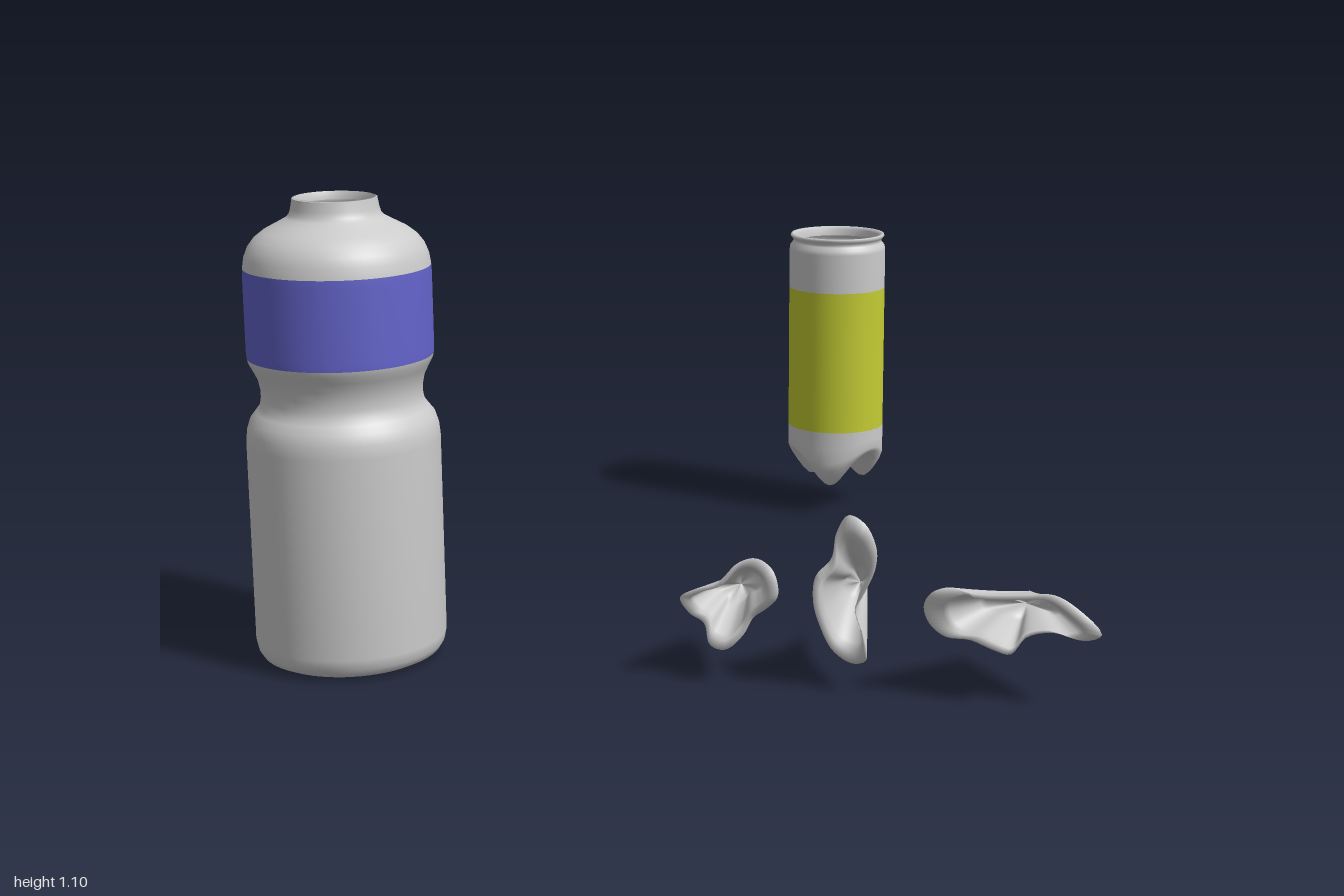
import * as THREE from 'three';

const material = (color) => new THREE.MeshStandardMaterial({ color, side: THREE.DoubleSide, roughness: 0.8 });
const grey = material(0xcccccc);
const blue = material(0x6464cc);
const yellow = material(0xc4cc33);

// Turned part from [radius, height] pairs
function turned(name, points, mat) {
  const mesh = new THREE.Mesh(new THREE.LatheGeometry(points.map(([r, y]) => new THREE.Vector2(r, y)), 64), mat);
  mesh.name = name;
  return mesh;
}

// Smooth skin through closed rings: at(i, j) gives the point j of ring i
function skin(name, rings, sides, at, mat) {
  const pos = [], index = [];
  for (let i = 0; i < rings; i++) {
    for (let j = 0; j < sides; j++) {
      pos.push(...at(i, j));
      if (i === rings - 1) continue;
      const k = (j + 1) % sides;
      const a = i * sides + j, b = i * sides + k, c = b + sides, d = a + sides;
      index.push(a, b, c, a, c, d);
    }
  }
  const geo = new THREE.BufferGeometry();
  geo.setAttribute('position', new THREE.Float32BufferAttribute(pos, 3));
  geo.setIndex(index);
  geo.computeVertexNormals();
  const mesh = new THREE.Mesh(geo, mat);
  mesh.name = name;
  return mesh;
}

// Wide bottle with a waist and an open neck
function sportsBottle() {
  const g = new THREE.Group();
  g.name = 'sportsBottle';
  g.add(
    turned('bottleBase', [[0, 0.006], [0.15, 0.006], [0.17, 0.002]], grey),
    turned('bottleBody', [
      [0.17, 0.002], [0.192, 0.005], [0.21, 0.014], [0.22, 0.03], [0.225, 0.055], [0.225, 0.3], [0.225, 0.53],
      [0.222, 0.56], [0.214, 0.585], [0.2, 0.603], [0.19, 0.617], [0.187, 0.635], [0.187, 0.655],
      [0.192, 0.68], [0.203, 0.703], [0.212, 0.72], [0.215, 0.732],
    ], grey),
    turned('bottleLabel', [[0.215, 0.732], [0.216, 0.75], [0.216, 0.92], [0.215, 0.94]], blue),
    turned('bottleShoulder', [
      [0.215, 0.94], [0.211, 0.965], [0.202, 0.988], [0.187, 1.008], [0.165, 1.025], [0.135, 1.041],
      [0.113, 1.053], [0.105, 1.062], [0.101, 1.075], [0.097, 1.098],
    ], grey),
    turned('bottleRim', [[0.097, 1.098], [0.092, 1.1], [0.09, 1.08]], grey),
  );
  g.position.set(-0.775, 0, 0.715);
  return g;
}

// Slim bottle with a rolled open lip and three moulded feet
function slimBottle() {
  const g = new THREE.Group();
  g.name = 'slimBottle';
  g.add(
    turned('slimLabel', [[0.139, 0.25], [0.139, 0.66]], yellow),
    turned('slimNeck', [
      [0.139, 0.66], [0.139, 0.77], [0.137, 0.782], [0.129, 0.792], [0.127, 0.798], [0.131, 0.804],
      [0.136, 0.81], [0.134, 0.816], [0.127, 0.816], [0.122, 0.808], [0.12, 0.79],
    ], grey),
  );
  // Radius, height along a foot, height along the valley between feet
  const rows = [
    [0, 0.14, 0.14], [0.02, 0.137, 0.143], [0.04, 0.12, 0.147], [0.06, 0.097, 0.151], [0.075, 0.084, 0.155],
    [0.09, 0.08, 0.16], [0.105, 0.09, 0.167], [0.12, 0.11, 0.174], [0.132, 0.132, 0.183], [0.139, 0.155, 0.195],
    [0.139, 0.2, 0.22], [0.139, 0.25, 0.25],
  ];
  const sides = 72;
  g.add(skin('slimFeet', rows.length, sides, (i, j) => {
    const a = (j / sides) * Math.PI * 2;
    const foot = 0.5 + 0.5 * Math.cos(3 * a);
    const [r, low, high] = rows[i];
    return [r * Math.sin(a), high + (low - high) * foot, r * Math.cos(a)];
  }, grey));
  g.position.set(0.135, 0, -0.805);
  return g;
}

// Crumpled cup: an irregular rim facing forward, drawn back to a point
function crumpledScrap({ name, tip, power, rim }) {
  const curve = new THREE.CatmullRomCurve3(rim.map(([x, y]) => new THREE.Vector3(x, y, 0)), true);
  const sides = 64, inner = 9, outer = 16, front = 0.735;
  const loop = Array.from({ length: sides }, (_, j) => curve.getPoint(j / sides));
  return skin(name, inner + outer, sides, (i, j) => {
    const inside = i < inner;
    // Depth runs from the hollow's floor to the rim, then back to the tip
    const d = inside ? 0.6 * (1 - i / (inner - 1)) : (i - inner) / (outer - 1);
    let k = inside ? 0.8 : 1;
    if (i === 0) k = 0;
    const p = loop[j];
    const sx = k * (1 - d) ** power[0], sy = k * (1 - d) ** power[1];
    const wave = 0.012 * Math.sin((j / sides) * Math.PI * 6) * (1 - d);
    return [
      tip[0] + (p.x - tip[0]) * sx,
      tip[1] + (p.y - tip[1]) * sy,
      front + wave + (tip[2] - front) * d,
    ];
  }, grey);
}

const scraps = [
  {
    name: 'forkedScrap', tip: [0.155, 0.2, 0.515], power: [0.75, 1.2],
    rim: [[0.04, 0.2], [0.08, 0.228], [0.13, 0.245], [0.175, 0.29], [0.22, 0.303], [0.26, 0.28], [0.272, 0.225],
      [0.245, 0.19], [0.21, 0.16], [0.187, 0.118], [0.15, 0.086], [0.112, 0.096], [0.096, 0.14], [0.06, 0.16]],
  },
  {
    name: 'tallScrap', tip: [0.43, 0.21, 0.44], power: [1.05, 1.8],
    rim: [[0.43, 0.422], [0.47, 0.406], [0.495, 0.35], [0.49, 0.295], [0.465, 0.235], [0.45, 0.2], [0.47, 0.14],
      [0.475, 0.085], [0.44, 0.07], [0.395, 0.095], [0.363, 0.165], [0.352, 0.225], [0.358, 0.278], [0.39, 0.315],
      [0.4, 0.374]],
  },
  {
    name: 'wideScrap', tip: [0.82, 0.2, 0.51], power: [0.9, 1.15],
    rim: [[0.602, 0.22], [0.62, 0.257], [0.66, 0.272], [0.71, 0.257], [0.83, 0.26], [0.89, 0.266], [0.94, 0.245],
      [0.998, 0.187], [0.96, 0.166], [0.89, 0.176], [0.83, 0.16], [0.8, 0.124], [0.76, 0.134], [0.71, 0.15],
      [0.65, 0.15], [0.615, 0.176]],
  },
];

export function createModel() {
  const model = new THREE.Group();
  model.name = 'bottlesAndScraps';
  model.add(sportsBottle(), slimBottle(), ...scraps.map(crumpledScrap));
  return model;
}
